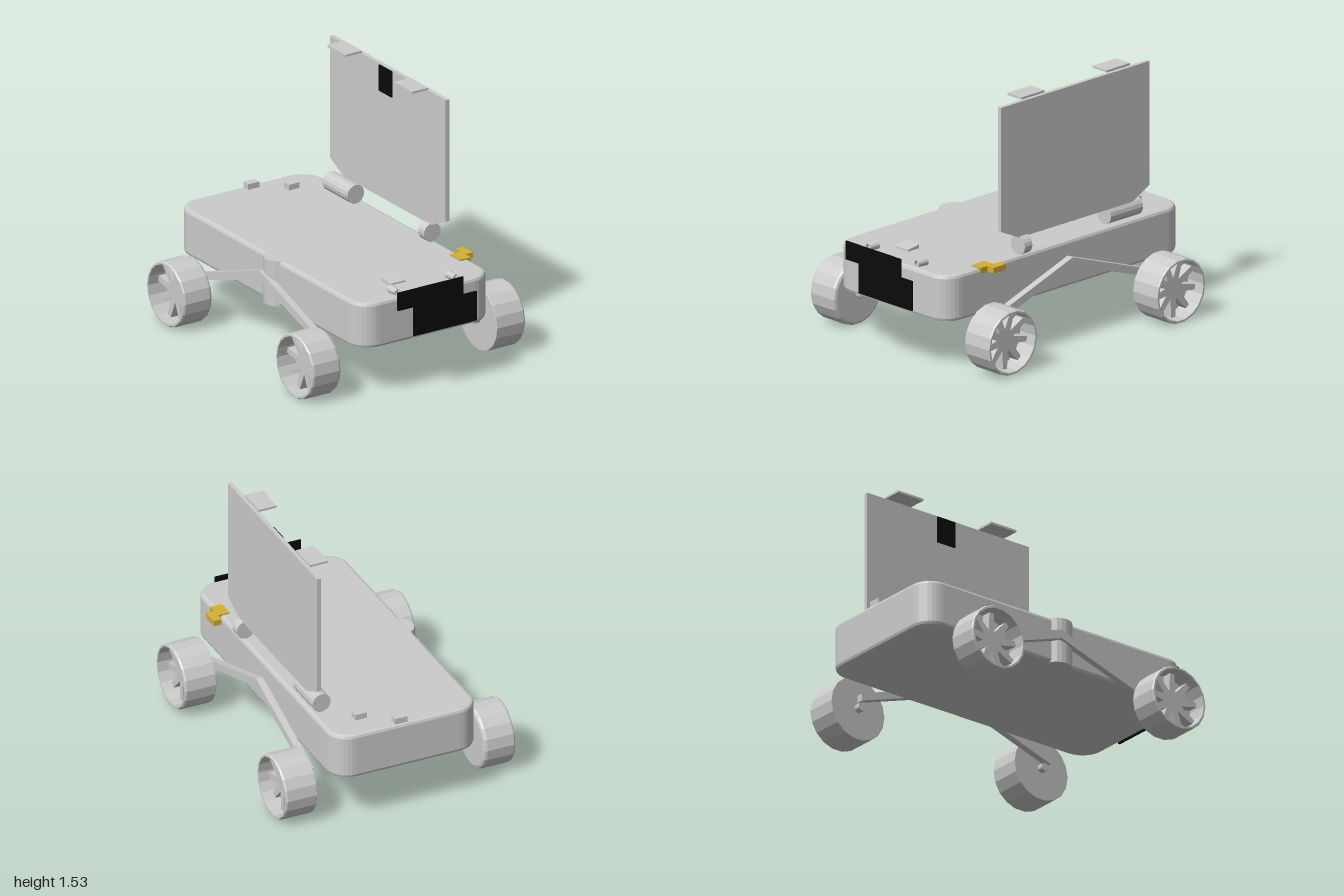
import * as THREE from 'three';

const material = (color) => new THREE.MeshStandardMaterial({ color, flatShading: true, side: THREE.DoubleSide });
const grey = material(0xcccccc);
const black = material(0x0a0a0a);
const gold = material(0xd4af37);

function add(parent, name, geometry, mat = grey) {
  const mesh = new THREE.Mesh(geometry, mat);
  mesh.name = name;
  parent.add(mesh);
  return mesh;
}

// Box given by its limits along each axis
function box(parent, name, [x0, x1], [y0, y1], [z0, z1], mat = grey) {
  const mesh = add(parent, name, new THREE.BoxGeometry(x1 - x0, y1 - y0, z1 - z0), mat);
  mesh.position.set((x0 + x1) / 2, (y0 + y1) / 2, (z0 + z1) / 2);
  return mesh;
}

// Cylinder lying along z
function rodZ(parent, name, x, y, z0, z1, rFront, rBack = rFront, open = false) {
  const g = new THREE.CylinderGeometry(rFront, rBack, z1 - z0, 16, 1, open).rotateX(Math.PI / 2);
  const mesh = add(parent, name, g);
  mesh.position.set(x, y, (z0 + z1) / 2);
  return mesh;
}

// Side outline of [z, y] points, extruded from x0 to x1
function sidePlate(parent, name, points, x0, x1) {
  const shape = new THREE.Shape(points.map(([z, y]) => new THREE.Vector2(-z, y)));
  const g = new THREE.ExtrudeGeometry(shape, { depth: x1 - x0, bevelEnabled: false });
  g.rotateY(Math.PI / 2).translate(x0, 0, 0);
  return add(parent, name, g);
}

// Hull with rounded corners and bevelled edges
function hullGeometry() {
  const b = 0.02, w = 0.46 - b, z0 = -1 + b, z1 = 0.9 - b, r = 0.11;
  const s = new THREE.Shape();
  s.moveTo(-w + r, -z1);
  s.lineTo(w - r, -z1);
  s.absarc(w - r, -z1 + r, r, -Math.PI / 2, 0);
  s.lineTo(w, -z0 - r);
  s.absarc(w - r, -z0 - r, r, 0, Math.PI / 2);
  s.lineTo(-w + r, -z0);
  s.absarc(-w + r, -z0 - r, r, Math.PI / 2, Math.PI);
  s.lineTo(-w, -z1 + r);
  s.absarc(-w + r, -z1 + r, r, Math.PI, Math.PI * 1.5);
  const g = new THREE.ExtrudeGeometry(s, {
    depth: 0.28 - 2 * b, bevelSize: b, bevelThickness: b, bevelSegments: 2, curveSegments: 4,
  });
  return g.rotateX(-Math.PI / 2).translate(0, 0.32 + b, 0);
}

// Cup-shaped wheel, open outwards, with a star of tapering spokes inside
function wheel(parent, name, side, x, y, z, bevel) {
  const group = new THREE.Group();
  group.name = name;
  const R = 0.195, w = 0.197, inner = 0.178, floor = 0.07;
  const profile = [
    [0, 0], [R - bevel, 0], [R - bevel * 0.3, bevel * 0.3], [R, bevel],
    [R, w - 0.01], [R - 0.006, w], [inner, w], [inner, floor], [0, floor],
  ].map(([a, b]) => new THREE.Vector2(a, b));
  add(group, 'rim', new THREE.LatheGeometry(profile, 18));

  const star = new THREE.Shape();
  const spokes = 9;
  for (let i = 0; i < spokes; i++) {
    const a = (i / spokes) * Math.PI * 2;
    for (const [r, da] of [[0.065, -Math.PI / spokes], [inner, -0.09], [inner, 0.09]]) {
      const px = r * Math.cos(a + da), py = r * Math.sin(a + da);
      if (i === 0 && r === 0.065) star.moveTo(px, py);
      else star.lineTo(px, py);
    }
  }
  const g = new THREE.ExtrudeGeometry(star, { depth: 0.06, bevelEnabled: false });
  add(group, 'spokes', g.rotateX(-Math.PI / 2).translate(0, floor, 0));

  // Short axle reaching in to the arm
  add(group, 'axle', new THREE.CylinderGeometry(0.025, 0.025, 0.05, 12)).position.y = -0.015;

  group.rotation.z = -side * Math.PI / 2;
  group.position.set(side * x, y, z);
  parent.add(group);
}

export function createModel() {
  const model = new THREE.Group();
  model.name = 'rover';

  add(model, 'hull', hullGeometry());

  // Upright pivot housing on the right flank
  add(model, 'pivotHousing', new THREE.CylinderGeometry(0.093, 0.093, 0.278, 20))
    .position.set(-0.407, 0.46, -0.01);

  // Bent suspension arms
  const arm = [[0.65, 0.275], [-0.055, 0.515], [-0.73, 0.275], [-0.73, 0.23], [-0.055, 0.46], [0.65, 0.23]];
  sidePlate(model, 'leftArm', arm, 0.472, 0.515);
  sidePlate(model, 'rightArm', arm, -0.515, -0.474);

  // Wheels
  wheel(model, 'frontLeftWheel', 1, 0.532, 0.214, 0.627, 0.003);
  wheel(model, 'rearLeftWheel', 1, 0.532, 0.204, -0.712, 0.003);
  wheel(model, 'frontRightWheel', -1, 0.538, 0.203, 0.63, 0.02);
  wheel(model, 'rearRightWheel', -1, 0.538, 0.203, -0.69, 0.02);

  // Upright panel with cut lower corners, and its hinges
  sidePlate(model, 'uprightPanel', [
    [0.455, 1.525], [0.455, 0.775], [0.305, 0.705], [-0.59, 0.705], [-0.73, 0.775], [-0.73, 1.525],
  ], 0.425, 0.45);
  rodZ(model, 'rearHinge', 0.395, 0.657, -0.675, -0.42, 0.058);
  rodZ(model, 'frontHinge', 0.435, 0.657, 0.245, 0.305, 0.058);
  box(model, 'panelPatch', [0.417, 0.425], [1.36, 1.52], [-0.22, -0.09], black);

  // Flat tabs along the panel's top edge
  for (const z of [0.18, -0.5]) {
    box(model, 'panelTab', [0.315, 0.43], [1.527, 1.54], [z - 0.093, z + 0.093]);
  }

  // Stepped plate standing ahead of the nose
  const plate = new THREE.Shape([
    [-0.268, 0.673], [-0.268, 0.563], [-0.158, 0.563], [-0.158, 0.384],
    [0.276, 0.384], [0.276, 0.563], [0.183, 0.563], [0.183, 0.673],
  ].map(([x, y]) => new THREE.Vector2(x, y)));
  add(model, 'frontPlate', new THREE.ExtrudeGeometry(plate, { depth: 0.012, bevelEnabled: false }), black)
    .position.z = 0.986;

  // Gold stepped bracket on the left edge
  const bracket = new THREE.Shape([
    [0.4, 0.64], [0.475, 0.64], [0.475, 0.585], [0.525, 0.585],
    [0.525, 0.485], [0.475, 0.485], [0.475, 0.535], [0.4, 0.535],
  ].map(([x, z]) => new THREE.Vector2(x, -z)));
  const bracketGeometry = new THREE.ExtrudeGeometry(bracket, { depth: 0.035, bevelEnabled: false });
  add(model, 'goldBracket', bracketGeometry.rotateX(-Math.PI / 2), gold).position.y = 0.573;

  // Pair of small camera tubes at the front
  for (const x of [-0.197, 0.203]) {
    rodZ(model, 'cameraTube', x, 0.625, 0.815, 0.885, 0.019, 0.025, true);
    rodZ(model, 'cameraLens', x, 0.625, 0.815, 0.865, 0.019, 0.024);
  }

  // Small deck boxes, the front one sloping forward
  sidePlate(model, 'frontDeckBox', [[0.725, 0.595], [0.725, 0.61], [0.635, 0.624], [0.635, 0.595]], -0.14, -0.035);
  box(model, 'rearDeckBox', [0, 0.078], [0.59, 0.635], [-0.985, -0.935]);
  box(model, 'rearDeckBox', [0.19, 0.263], [0.59, 0.635], [-0.848, -0.798]);

  return model;
}
